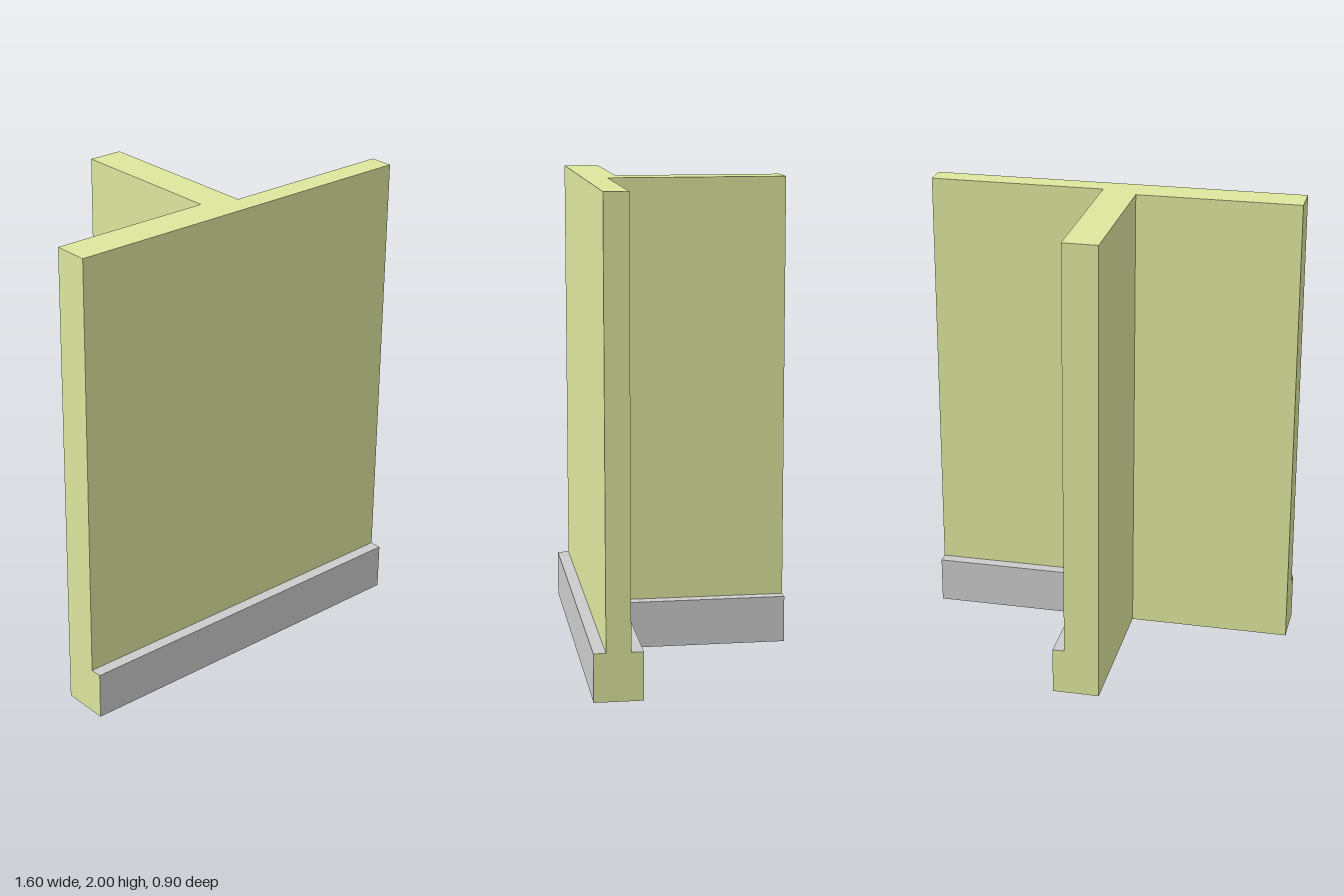
import * as THREE from 'three';

const HEIGHT = 2, BOARD_HEIGHT = 0.2;

export function createModel() {
  const group = new THREE.Group();
  const green = new THREE.MeshStandardMaterial({ color: 0xdde79e });
  const grey = new THREE.MeshStandardMaterial({ color: 0xcccccc });

  // T-shaped wall, thinner where the skirting runs; plan given as [x, z]
  const plan = [
    [-0.8, 0.4], [0.8, 0.4], [0.8, 0.3], [0.05, 0.3],
    [0.05, -0.45], [-0.1, -0.45], [-0.1, 0.25], [-0.8, 0.25],
  ];
  const shape = new THREE.Shape(plan.map(([x, z]) => new THREE.Vector2(x, -z)));
  const wallGeometry = new THREE.ExtrudeGeometry(shape, { depth: HEIGHT, bevelEnabled: false });
  wallGeometry.rotateX(-Math.PI / 2);
  const wall = new THREE.Mesh(wallGeometry, green);
  wall.name = 'wall';
  group.add(wall);

  // Skirting board: grey exposed faces, cut ends and underside in the wall colour
  function addBoard(name, x0, x1, z0, z1, greyFaces) {
    const geometry = new THREE.BoxGeometry(x1 - x0, BOARD_HEIGHT, z1 - z0);
    const materials = ['+x', '-x', '+y', '-y', '+z', '-z']
      .map((face) => (greyFaces.includes(face) ? grey : green));
    const board = new THREE.Mesh(geometry, materials);
    board.position.set((x0 + x1) / 2, BOARD_HEIGHT / 2, (z0 + z1) / 2);
    board.name = name;
    group.add(board);
  }

  addBoard('frontSkirting', -0.8, 0.8, 0.4, 0.45, ['+y', '+z']);
  addBoard('partitionSkirting', 0.05, 0.1, -0.45, 0.3, ['+x', '+y']);
  addBoard('backSkirting', 0.1, 0.8, 0.25, 0.3, ['+y', '-z']);

  return group;
}
